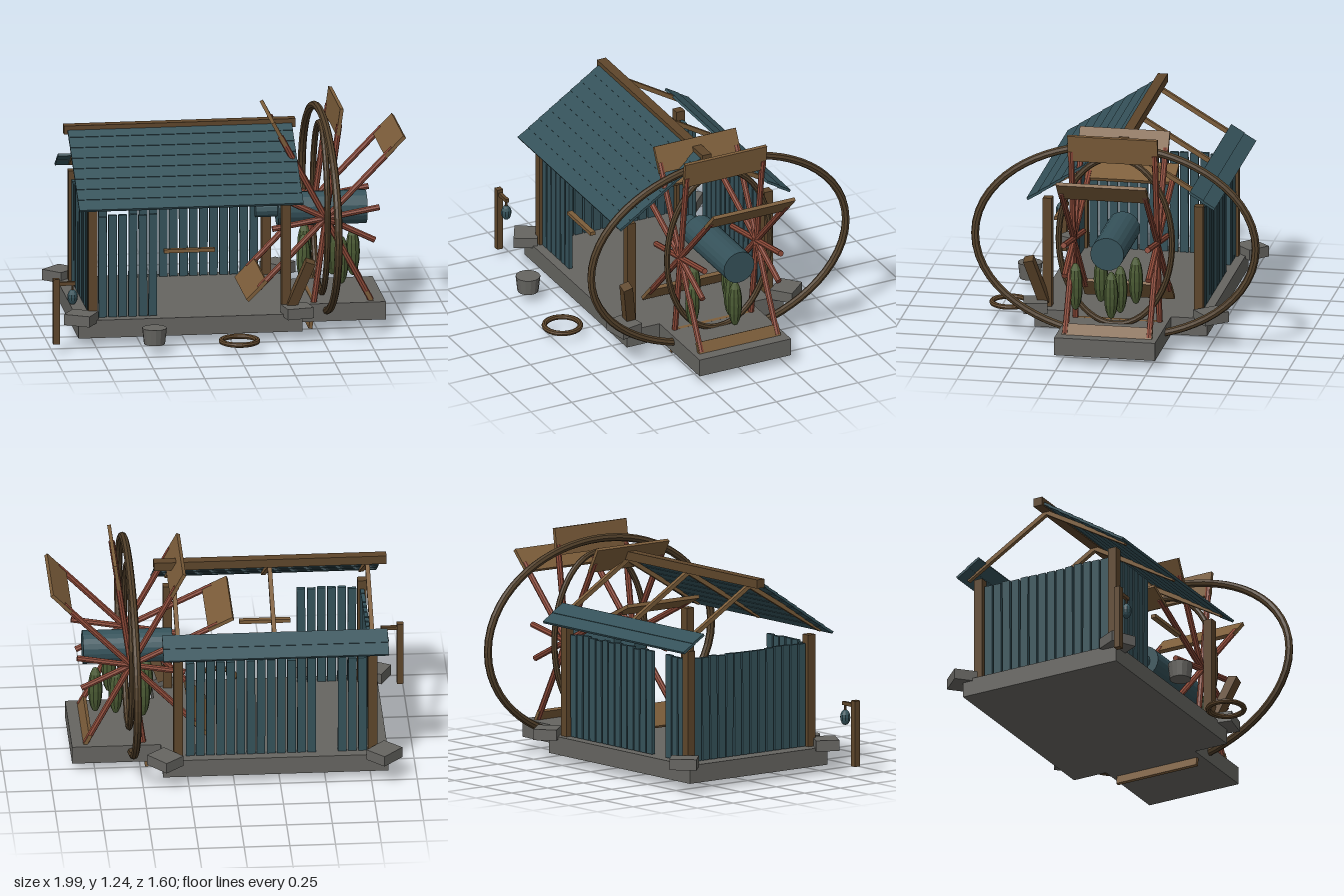
import * as THREE from 'three';

const mat = (name, color) => Object.assign(new THREE.MeshStandardMaterial({ color, flatShading: true }), { name });
const M = {
  teal: mat('weathered teal', 0x35525a),
  stone: mat('stone', 0x666561),
  wood: mat('dark wood', 0x5e462b),
  rim: mat('rim wood', 0x52402a),
  paddle: mat('paddle wood', 0x7c5d3a),
  red: mat('red paint', 0x8c4938),
  green: mat('gourd green', 0x4a5a33),
};

export function createModel() {
  const root = new THREE.Group();
  root.name = 'millHouse';

  function add(name, geo, m, x = 0, y = 0, z = 0, parent = root) {
    const mesh = new THREE.Mesh(geo, m);
    mesh.name = name;
    mesh.position.set(x, y, z);
    parent.add(mesh);
    return mesh;
  }
  const box = (name, w, h, d, m, x, y, z, parent) =>
    add(name, new THREE.BoxGeometry(w, h, d), m, x, y, z, parent);

  // Beam running between two points; sides 0 gives a square section
  function beam(name, a, b, w, m, sides = 0, parent = root) {
    const p = new THREE.Vector3(...a), q = new THREE.Vector3(...b);
    const len = p.distanceTo(q);
    const geo = sides ? new THREE.CylinderGeometry(w / 2, w / 2, len, sides) : new THREE.BoxGeometry(w, len, w);
    const mesh = add(name, geo, m, 0, 0, 0, parent);
    mesh.position.copy(p).add(q).multiplyScalar(0.5);
    mesh.quaternion.setFromUnitVectors(new THREE.Vector3(0, 1, 0), q.sub(p).normalize());
    return mesh;
  }

  let seed = 7;
  const jitter = (s) => {
    seed = (seed * 16807) % 2147483647;
    return (seed / 2147483647 - 0.5) * s;
  };

  // Foundation slabs and corner stones
  box('houseSlab', 1.235, 0.1, 0.96, M.stone, -0.2275, 0.11, 0);
  box('wheelSlab', 0.485, 0.1, 0.56, M.stone, 0.6325, 0.11, 0);
  [[-0.83, 0.48, 0.5], [-0.82, -0.5, -0.8], [0.36, 0.48, -0.2], [0.38, -0.5, 0.85]].forEach(([x, z, r]) => {
    box('cornerStone', 0.15, 0.06, 0.13, M.stone, x, 0.175, z).rotation.y = -r;
  });

  // Corner posts
  for (const x of [-0.76, 0.305]) for (const z of [-0.42, 0.42])
    box('cornerPost', 0.05, 0.62, 0.05, M.wood, x, 0.47, z);

  // Wall slats with openings in the front and back walls
  const walls = new THREE.Group();
  walls.name = 'walls';
  root.add(walls);
  function slat(x, z, side) {
    const h = 0.57 + jitter(0.012);
    const s = box('wallSlat', side ? 0.022 : 0.046, h, side ? 0.046 : 0.022, M.teal, x, 0.163 + h / 2, z, walls);
    s.rotation[side ? 'x' : 'z'] = jitter(0.012);
  }
  for (let i = 0; i < 18; i++) {
    const x = -0.705 + i * 0.0555;
    if (i < 6) slat(x, 0.42, false);
    if (i < 3 || i > 4) slat(x, -0.42, false);
  }
  for (let i = 0; i < 14; i++) slat(-0.76, -0.364 + i * 0.056, true);
  box('doorBar', 0.28, 0.02, 0.03, M.paddle, -0.23, 0.53, 0.445);

  // Roof: ridge, rafters, full front slope and only the lowest boards behind
  box('ridgeBeam', 1.275, 0.048, 0.055, M.wood, -0.2275, 1.12, 0);
  for (const side of [1, -1]) {
    for (const x of [-0.76, -0.225, 0.305])
      beam('rafter', [x, 1.095, 0], [x, 0.798, side * 0.495], 0.024, M.paddle);
    for (let i = side > 0 ? 0 : 6; i < 8; i++) {
      const t = (i + 0.5) / 8;
      const b = box('roofBoard', 1.235, 0.014, 0.088, M.teal, -0.2275, 1.13 - 0.34 * t, side * 0.515 * t);
      b.rotation.x = side * 0.54;
    }
  }

  // Axle and drum
  const hub = { x: 0.55, y: 0.63 };
  const drum = add('drum', new THREE.CylinderGeometry(0.093, 0.093, 0.49, 20), M.teal, 0.555, hub.y, 0);
  const axle = add('axle', new THREE.CylinderGeometry(0.043, 0.043, 0.14, 12), M.teal, 0.26, hub.y, 0);
  drum.rotation.z = axle.rotation.z = Math.PI / 2;

  // Paired spokes with paddles; three pairs are broken short
  const wheel = new THREE.Group();
  wheel.name = 'paddleWheel';
  wheel.position.set(hub.x, hub.y, 0);
  root.add(wheel);
  for (let i = 0; i < 10; i++) {
    const a = THREE.MathUtils.degToRad(10 + i * 36), c = Math.cos(a), s = Math.sin(a);
    const broken = [0, 5, 9].includes(i);
    const r = broken ? 0.3 : 0.53;
    for (const z of [-0.233, 0.233]) beam('spoke', [0, 0, z], [c * r, s * r, z], 0.034, M.red, 8, wheel);
    if (!broken)
      box('paddle', 0.15, 0.02, 0.5, M.paddle, c * 0.548, s * 0.548, 0, wheel).rotation.z = a;
  }

  // Oval hoops standing across the drum
  function hoop(name, ry, rz, tube) {
    const pts = Array.from({ length: 32 }, (_, i) => {
      const a = (i / 32) * Math.PI * 2;
      return new THREE.Vector3(0, Math.sin(a) * ry, Math.cos(a) * rz);
    });
    const path = new THREE.CatmullRomCurve3(pts, true);
    add(name, new THREE.TubeGeometry(path, 64, tube, 8, true), M.rim, hub.x, hub.y, 0);
  }
  hoop('outerHoop', 0.545, 0.78, 0.022);
  hoop('innerHoop', 0.475, 0.315, 0.017);

  // Hanging gourds
  [[0.445, 0.1], [0.475, -0.1], [0.62, -0.04], [0.64, 0.205], [0.73, -0.01]].forEach(([x, z], i) => {
    const g = add('gourd', new THREE.SphereGeometry(0.04, 10, 8), M.green, x, 0.375 + (i % 2) * 0.01, z);
    g.scale.y = 3.4;
  });

  // Plank leaning at the front corner
  beam('leaningPlank', [0.33, 0.19, 0.435], [0.43, 0.46, 0.505], 0.055, M.wood);

  // Lantern post
  box('lanternPost', 0.036, 0.365, 0.036, M.wood, -0.98, 0.2425, 0.57);
  box('lanternArm', 0.1, 0.02, 0.02, M.wood, -0.925, 0.397, 0.57);
  beam('lanternHook', [-0.89, 0.4, 0.57], [-0.89, 0.355, 0.57], 0.014, M.wood, 6);
  add('lantern', new THREE.SphereGeometry(0.029, 10, 8), M.teal, -0.89, 0.32, 0.57).scale.y = 1.5;

  // Stone pot and wooden ring on the ground
  add('stonePot', new THREE.CylinderGeometry(0.068, 0.058, 0.09, 14), M.stone, -0.45, 0.11, 0.66);
  const ring = add('groundRing', new THREE.TorusGeometry(0.099, 0.015, 8, 24), M.wood, 0.015, 0.072, 0.685);
  ring.rotation.x = Math.PI / 2;

  return root;
}
